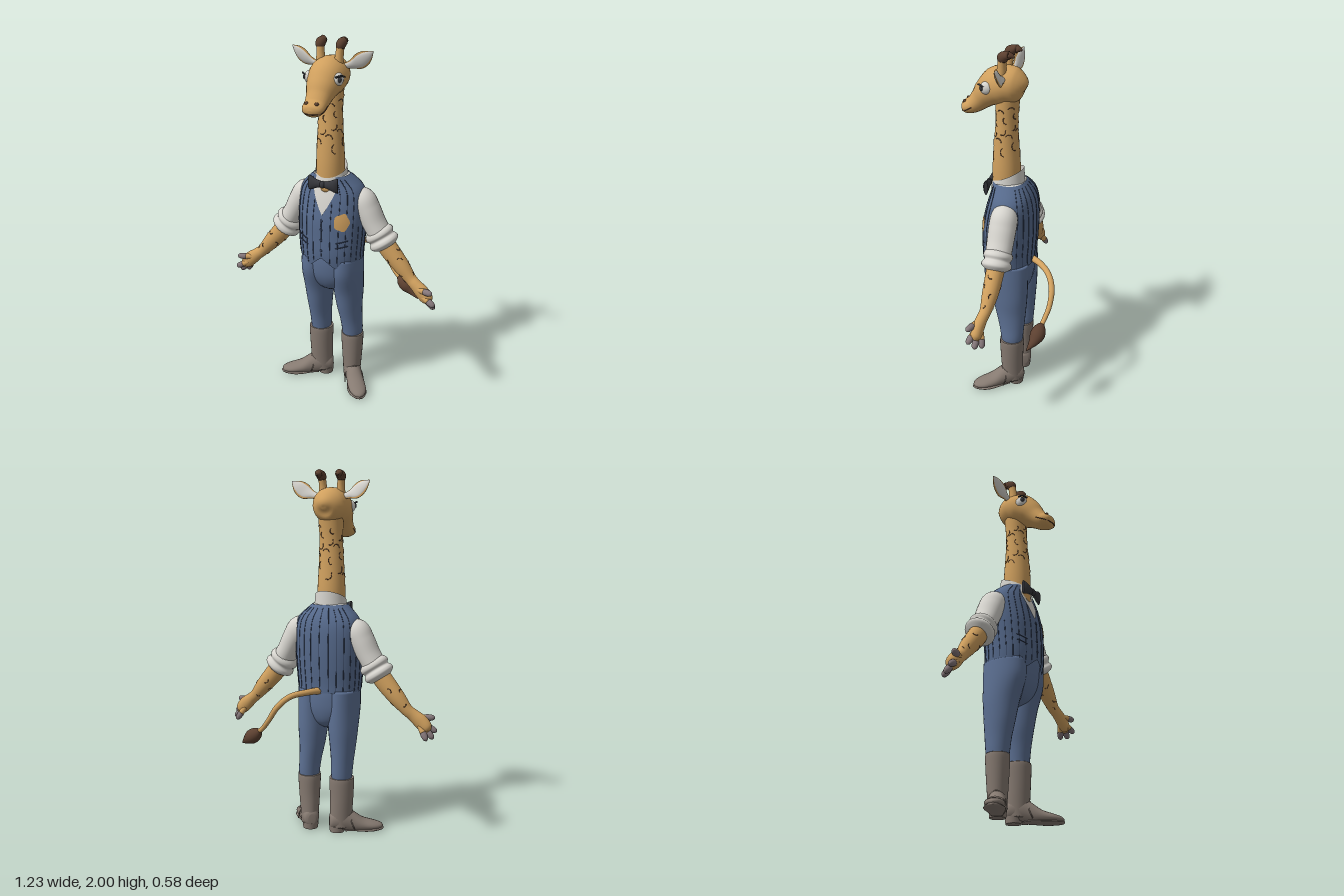
import * as THREE from 'three';

const V = (x, y, z) => new THREE.Vector3(x, y, z);
const X = V(1, 0, 0), Y = V(0, 1, 0), Z = V(0, 0, 1);
const TAU = Math.PI * 2;

const mat = (name, color, side = THREE.FrontSide) => {
  const m = new THREE.MeshStandardMaterial({ color, side });
  m.name = name;
  return m;
};

// Smooth interpolation through rows of numbers
function sample(rows, t) {
  const n = rows.length - 1;
  t = Math.min(Math.max(t, 0), n);
  const i = Math.min(Math.floor(t), n - 1), f = t - i;
  const at = (k) => rows[Math.min(Math.max(k, 0), n)];
  return rows[0].map((_, k) => {
    const p0 = at(i - 1)[k], p1 = at(i)[k], p2 = at(i + 1)[k], p3 = at(i + 2)[k];
    const m1 = (p2 - p0) / 2, m2 = (p3 - p1) / 2;
    return p1 + f * (m1 + f * (3 * (p2 - p1) - 2 * m1 - m2 + f * (2 * (p1 - p2) + m1 + m2)));
  });
}

// Surface around a path; row = [x, y, z, width radius, radius toward hint]
const surf = (rows, hint = Z, axis = null) => (u, v) => {
  const t = v * (rows.length - 1), r = sample(rows, t);
  const p = sample(rows, t - 0.1), q = sample(rows, t + 0.1);
  const T = axis ? axis.clone() : V(q[0] - p[0], q[1] - p[1], q[2] - p[2]).normalize();
  const a = hint.clone().cross(T).normalize(), b = T.clone().cross(a);
  return V(r[0], r[1], r[2])
    .addScaledVector(a, Math.max(r[3], 0.001) * Math.cos(u * TAU))
    .addScaledVector(b, Math.max(r[4], 0.001) * Math.sin(u * TAU));
};

// Mesh geometry closed around u, with optional end caps
function skin(f, nu = 24, nv = 24, caps = true) {
  const pos = [], idx = [];
  for (let j = 0; j <= nv; j++) for (let i = 0; i < nu; i++) pos.push(...f(i / nu, j / nv).toArray());
  for (let j = 0; j < nv; j++) for (let i = 0; i < nu; i++) {
    const k = (i + 1) % nu, a = j * nu + i, b = j * nu + k;
    idx.push(a, b, b + nu, a, b + nu, a + nu);
  }
  if (caps) for (const j of [0, nv]) {
    const c = V(0, 0, 0);
    for (let i = 0; i < nu; i++) c.addScaledVector(f(i / nu, j / nv), 1 / nu);
    const id = pos.length / 3;
    pos.push(...c.toArray());
    for (let i = 0; i < nu; i++) {
      const a = j * nu + i, b = j * nu + (i + 1) % nu;
      idx.push(...(j ? [a, b, id] : [b, a, id]));
    }
  }
  const g = new THREE.BufferGeometry();
  g.setAttribute('position', new THREE.Float32BufferAttribute(pos, 3));
  g.setIndex(idx);
  g.computeVertexNormals();
  return g;
}
const loft = (rows, hint, axis, nv = 28) => skin(surf(rows, hint, axis), 24, nv);
const line = (pts, r = 0.0022) => new THREE.TubeGeometry(new THREE.CatmullRomCurve3(pts), 16, r, 5);

// Torso rows: y, half width, centre z, half depth
const TORSO = [[0.76, 0.172, 0.02, 0.137], [0.85, 0.18, 0.026, 0.143], [0.95, 0.187, 0.022, 0.146], [1.05, 0.191, 0.018, 0.145],
  [1.15, 0.188, 0.01, 0.132], [1.21, 0.174, 0.008, 0.116], [1.25, 0.137, 0.014, 0.1], [1.29, 0.092, 0.03, 0.085]];
function torso(th, y, off = 0) {
  let lo = 0, hi = TORSO.length - 1;
  for (let i = 0; i < 22; i++) {
    const m = (lo + hi) / 2;
    if (sample(TORSO, m)[0] < y) lo = m; else hi = m;
  }
  const [, a, zc, b] = sample(TORSO, lo), sq = (n) => Math.sign(n) * Math.abs(n) ** 0.92;
  return V((a + off) * sq(Math.sin(th)), y, zc + (b + off) * sq(Math.cos(th)));
}
const wrap = (th) => Math.abs(Math.atan2(Math.sin(th), Math.cos(th)));
const neckline = (th) => Math.min(1.285, 1.08 + 0.38 * wrap(th));
function hem(th) {
  const t = wrap(th);
  if (t < 0.4) return 0.835 - 0.15 * t;
  return t < 0.9 ? 0.775 + 0.07 * (t - 0.4) : 0.81;
}

export function createModel() {
  const root = new THREE.Group();
  const tan = mat('tan hide', 0xd0a05e), vestBlue = mat('vest blue', 0x566a8c, THREE.DoubleSide);
  const pants = mat('trouser blue', 0x5d7194), white = mat('off white', 0xd6d4ce, THREE.DoubleSide);
  const boot = mat('boot grey brown', 0x867a71), black = mat('charcoal', 0x36373c);
  const brown = mat('dark brown', 0x5c4030), navy = mat('navy stripe', 0x333f58), grey = mat('hoof grey', 0x85777a);
  const add = (name, g, m, parent = root) => {
    const o = new THREE.Mesh(g, m);
    o.name = name;
    parent.add(o);
    return o;
  };
  const ball = (name, m, p, sx, sy = sx, sz = sx) => {
    const o = add(name, new THREE.SphereGeometry(1, 20, 14), m);
    o.position.set(...p);
    o.scale.set(sx, sy, sz);
    return o;
  };

  // Shirt and waistcoat
  add('shirtFront', skin((u, v) => torso(u * TAU, 0.98 + 0.31 * v, -0.007), 48, 14), white);
  add('vest', skin((u, v) => torso(u * TAU, THREE.MathUtils.lerp(hem(u * TAU), neckline(u * TAU), v)), 96, 28, false), vestBlue);
  for (let i = 0; i < 26; i++) {
    const th = (i / 26) * TAU, side = Math.abs(wrap(th) - 1.57) < 0.42;
    const y0 = hem(th) + 0.01, y1 = side ? 1.02 : neckline(th) - 0.015;
    add('pinstripe', line(Array.from({ length: 9 }, (_, k) => torso(th, y0 + (y1 - y0) * k / 8, 0.0005)), 0.002), navy);
  }
  for (const y of [0.88, 0.94, 1.0, 1.05]) ball('vestButton', navy, torso(0, y, 0.001).toArray(), 0.008, 0.008, 0.004);
  for (const s of [1, -1]) for (const dy of [0, 0.03]) {
    add('pocketEdge', line([0.42, 0.55, 0.68, 0.82].map((t, k) => torso(s * t, 0.9 + dy + k * 0.005, 0.001)), 0.003), navy);
  }
  add('chestPatch', skin((u, v) => {
    const p = u * TAU, r = (1 - v) * (1 + 0.07 * Math.cos(5 * p));
    return torso(0.58 + 0.24 * r * Math.cos(p), 1.05 + 0.048 * r * Math.sin(p), 0.005);
  }, 40, 6, false), tan);

  // Collar and bow tie
  add('collar', skin((u, v) => {
    const c = Math.cos(u * TAU), r = 0.094 - 0.009 * v;
    return V(r * Math.sin(u * TAU), THREE.MathUtils.lerp(1.235, 1.32 - 0.04 * c, v), 0.036 + r * c);
  }, 40, 6, false), white);
  for (const s of [1, -1]) {
    add('bowWing', loft([[0.005, 1.25, 0.142, 0.016, 0.012], [0.035, 1.25, 0.143, 0.023, 0.016], [0.065, 1.25, 0.14, 0.036, 0.016],
      [0.084, 1.25, 0.134, 0.041, 0.01]].map(([x, ...r]) => [s * x, ...r])), black);
  }
  ball('bowKnot', black, [0, 1.25, 0.147], 0.017, 0.021, 0.014);

  // Neck with curved hide markings
  const neck = surf([[0, 1.2, 0.045, 0.075, 0.075], [0, 1.35, 0.045, 0.077, 0.076], [0, 1.5, 0.045, 0.07, 0.066],
    [0, 1.62, 0.042, 0.065, 0.058], [0, 1.72, 0.038, 0.068, 0.062], [0, 1.8, 0.03, 0.07, 0.065]]);
  add('neck', skin(neck, 28, 30), tan);
  for (let k = 0; k < 34; k++) {
    const u = k * 0.382, v = 0.3 + 0.46 * k / 34, turn = k * 2.1;
    add('neckMark', line([0, 1, 2, 3, 4].map((i) =>
      neck(u + 0.05 * Math.cos(turn + i * 0.62), v + 0.036 * Math.sin(turn + i * 0.62)))), brown);
  }

  // Head and face
  add('head', loft([[0, 1.8, -0.06, 0.012, 0.012], [0, 1.805, -0.048, 0.053, 0.055], [0, 1.81, -0.01, 0.087, 0.088],
    [0, 1.815, 0.04, 0.1, 0.097], [0, 1.8, 0.09, 0.1, 0.1], [0, 1.765, 0.14, 0.086, 0.08], [0, 1.725, 0.18, 0.069, 0.06],
    [0, 1.692, 0.217, 0.062, 0.048], [0, 1.677, 0.25, 0.06, 0.04], [0, 1.67, 0.274, 0.045, 0.03], [0, 1.667, 0.286, 0.012, 0.01]], Y, null, 48), tan);
  add('mouth', line([V(-0.062, 1.69, 0.21), V(-0.058, 1.667, 0.25), V(-0.03, 1.658, 0.277), V(0, 1.657, 0.284),
    V(0.03, 1.658, 0.277), V(0.058, 1.667, 0.25), V(0.062, 1.69, 0.21)], 0.003), brown);
  for (const s of [1, -1]) {
    const m = (rows) => rows.map(([x, ...r]) => [s * x, ...r]);
    ball('nostril', brown, [s * 0.028, 1.708, 0.263], 0.011, 0.009, 0.01);
    ball('eyeWhite', white, [s * 0.078, 1.81, 0.122], 0.028, 0.034, 0.036);
    ball('pupil', black, [s * 0.096, 1.813, 0.142], 0.011, 0.015, 0.012);
    add('eyelash', line([V(s * 0.082, 1.826, 0.166), V(s * 0.106, 1.833, 0.146), V(s * 0.118, 1.826, 0.125)], 0.005), black);

    // Ear with a tan rim
    const ear = (k, b) => loft(m([[0.075, 1.862, 0.035, 0.016 * k, b], [0.11, 1.872, 0.033, 0.024 * k, b], [0.15, 1.888, 0.03, 0.042 * k, b],
      [0.19, 1.917, 0.028, 0.035 * k, b], [0.226, 1.944, 0.026, 0.003, 0.002]]), V(0, -0.4, 0.9));
    add('earRim', ear(1, 0.007), tan);
    add('earFace', ear(0.84, 0.011), white);

    // Horns
    add('hornStem', loft(m([[0.048, 1.86, 0.055, 0.028, 0.028], [0.053, 1.92, 0.05, 0.021, 0.023], [0.056, 1.965, 0.045, 0.021, 0.023]])), tan);
    add('hornTip', loft(m([[0.056, 1.95, 0.046, 0.021, 0.023], [0.057, 1.968, 0.042, 0.025, 0.029], [0.058, 1.98, 0.022, 0.025, 0.022],
      [0.059, 1.981, 0.0, 0.02, 0.015], [0.06, 1.975, -0.019, 0.006, 0.005]])), brown);

    // Sleeve, rolled cuff and forearm
    add('sleeve', loft(m([[0.12, 1.15, 0, 0.045, 0.05], [0.165, 1.145, 0, 0.07, 0.071], [0.2, 1.095, 0, 0.068, 0.075],
      [0.24, 1.02, 0, 0.063, 0.072], [0.282, 0.95, 0, 0.064, 0.07]])), white);
    const cuff = [0.06, 0.079, 0.083, 0.073, 0.084, 0.082, 0.055];
    add('rolledCuff', loft(m(cuff.map((r, i) => [0.252 + i * 0.0105, 0.99 - i * 0.0155, 0, r, r * 0.95])), Z, null, 36), white);
    const arm = m([[0.27, 0.96, 0, 0.05, 0.05], [0.33, 0.88, 0, 0.053, 0.048], [0.4, 0.8, 0, 0.046, 0.043], [0.455, 0.737, 0.004, 0.034, 0.032],
      [0.49, 0.708, 0.012, 0.034, 0.03], [0.53, 0.675, 0.018, 0.04, 0.031], [0.565, 0.64, 0.02, 0.034, 0.028], [0.58, 0.625, 0.021, 0.012, 0.01]]);
    add('forearmAndPalm', loft(arm, Z, null, 40), tan);
    const armSurf = surf(arm);
    for (let k = 0; k < 10; k++) {
      add('armMark', line([0, 1, 2, 3].map((i) => armSurf(k * 0.382 + 0.06 * Math.cos(k + i * 0.7), 0.16 + 0.03 * k + 0.025 * Math.sin(k + i * 0.7)))), brown);
    }

    // Fingers and thumb
    const digits = [[0.555, 0.648, 0.038, 0.614, 0.618, 0.05], [0.558, 0.635, 0.018, 0.604, 0.586, 0.016], [0.54, 0.638, 0, 0.577, 0.58, -0.018],
      [0.528, 0.692, 0.036, 0.6, 0.692, 0.058]];
    for (const [x, y, z, p, q, w] of digits) {
      const at = (t, r) => [x + (p - x) * t, y + (q - y) * t, z + (w - z) * t, r, r];
      add('fingerBase', loft(m([at(-0.3, 0.014), at(0.35, 0.017)]), Z, null, 4), tan);
      add('fingerTip', loft(m([at(0.25, 0.016), at(0.5, 0.018), at(0.85, 0.014), at(1, 0.003)]), Z, null, 12), grey);
    }

    // Trouser leg
    const fx = s > 0 ? 0.107 : 0.091;
    add('trouserLeg', loft(m([[0.088, 0.82, 0.02, 0.085, 0.125], [0.09, 0.72, 0.018, 0.085, 0.124], [0.091, 0.6, 0, 0.081, 0.103],
      [0.093, 0.5, -0.008, 0.071, 0.088], [(fx + 0.095) / 2, 0.41, -0.016, 0.062, 0.074], [fx, 0.34, -0.02, 0.059, 0.065],
      [fx, 0.3, -0.02, 0.055, 0.06]]), Z, Y.clone().negate()), pants);

    // Boot, toe along local z
    const b = new THREE.Group();
    b.name = 'boot';
    b.position.set(s * fx, 0, -0.02);
    b.rotation.y = s > 0 ? 0.61 : -1.08;
    root.add(b);
    add('bootShaft', loft([[0, 0.03, -0.005, 0.048, 0.06], [0, 0.1, -0.003, 0.052, 0.063], [0, 0.2, 0, 0.059, 0.066],
      [0, 0.29, 0, 0.064, 0.07], [0, 0.318, 0, 0.063, 0.069]], Z, Y), boot, b);
    const foot = surf([[0, 0.06, -0.07, 0.02, 0.03], [0, 0.065, -0.055, 0.042, 0.05], [0, 0.07, 0, 0.05, 0.072], [0, 0.055, 0.06, 0.047, 0.062],
      [0, 0.038, 0.12, 0.05, 0.038], [0, 0.03, 0.18, 0.047, 0.026], [0, 0.026, 0.222, 0.028, 0.016], [0, 0.024, 0.236, 0.006, 0.005]], Y, Z);
    add('bootFoot', skin((u, v) => { const p = foot(u, v); p.y = Math.max(p.y, 0.014); return p; }, 28, 32), boot, b);
    add('bootSole', loft([[0, 0.006, 0.02, 0.03, 0.006], [0, 0.012, 0.06, 0.041, 0.009], [0, 0.01, 0.13, 0.053, 0.01],
      [0, 0.01, 0.18, 0.05, 0.01], [0, 0.011, 0.225, 0.028, 0.009], [0, 0.012, 0.24, 0.004, 0.004]], Y, Z), boot, b);
    const heel = add('bootHeel', new THREE.CylinderGeometry(0.046, 0.042, 0.035, 24), boot, b);
    heel.position.set(0, 0.0175, -0.025);
    add('bootSeam', line([V(0.055, 0.02, 0.07), V(0.045, 0.075, 0.05), V(0.0, 0.12, 0.062), V(-0.045, 0.075, 0.05), V(-0.055, 0.02, 0.07)], 0.003), boot, b);
  }

  // Trouser seat
  add('trouserSeat', loft([[0, 0.6, 0.01, 0.02, 0.05], [0, 0.635, 0.012, 0.1, 0.095], [0, 0.7, 0.017, 0.165, 0.122],
    [0, 0.78, 0.02, 0.172, 0.132], [0, 0.86, 0.022, 0.17, 0.13]], Z, Y), pants);

  // Tail and tuft
  add('tail', loft([[0.0, 0.82, -0.09, 0.02, 0.02], [0.05, 0.82, -0.165, 0.017, 0.017], [0.12, 0.805, -0.235, 0.016, 0.016],
    [0.18, 0.75, -0.272, 0.016, 0.016], [0.23, 0.675, -0.275, 0.014, 0.014], [0.275, 0.62, -0.262, 0.013, 0.013],
    [0.315, 0.59, -0.252, 0.013, 0.013]], V(0.3, 1, 0.2), null, 40), tan);
  add('tailTuft', loft([[0.295, 0.602, -0.256, 0.012, 0.012], [0.32, 0.583, -0.251, 0.034, 0.034], [0.352, 0.56, -0.246, 0.04, 0.04],
    [0.385, 0.538, -0.236, 0.026, 0.026], [0.432, 0.507, -0.211, 0.002, 0.002]]), brown);
  return root;
}
